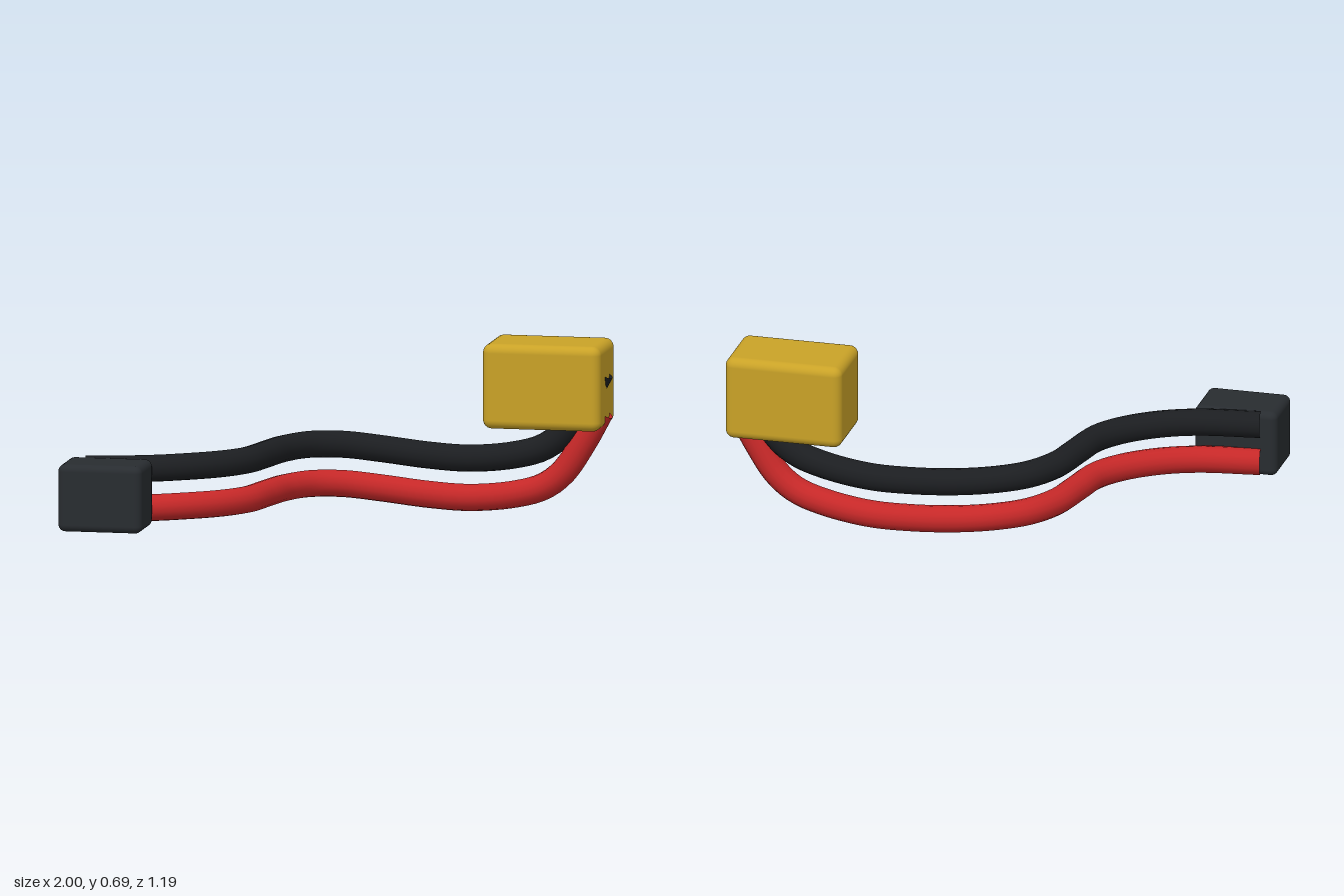
import * as THREE from 'three';
import { RoundedBoxGeometry } from 'three/addons/geometries/RoundedBoxGeometry.js';

// Centre line of the upper wire; the lower wire runs parallel beneath it
const PATH = [
  [-0.935, 0.255, 0.36], [-0.7, 0.258, 0.315], [-0.56, 0.26, 0.25], [-0.44, 0.26, 0.155],
  [-0.36, 0.26, 0.04], [-0.32, 0.26, -0.12], [-0.28, 0.26, -0.28], [-0.2, 0.26, -0.41],
  [-0.08, 0.253, -0.48], [0.07, 0.237, -0.5], [0.25, 0.22, -0.49], [0.42, 0.215, -0.475],
  [0.6, 0.236, -0.457], [0.72, 0.272, -0.447], [0.8, 0.333, -0.443],
  [0.88, 0.45, -0.44], [0.95, 0.578, -0.44],
];

function addWire(group, name, color, drop) {
  const points = PATH.map(([x, y, z]) => new THREE.Vector3(x, y - drop, z));
  const curve = new THREE.CatmullRomCurve3(points);
  const wire = new THREE.Mesh(
    new THREE.TubeGeometry(curve, 80, 0.053, 14, false),
    new THREE.MeshStandardMaterial({ color, side: THREE.DoubleSide })
  );
  wire.name = name;
  group.add(wire);
}

function addBlock(group, name, color, size, position, radius) {
  const block = new THREE.Mesh(
    new RoundedBoxGeometry(...size, 4, radius),
    new THREE.MeshStandardMaterial({ color })
  );
  block.position.set(...position);
  block.name = name;
  group.add(block);
}

export function createModel() {
  const group = new THREE.Group();
  group.name = 'batteryLead';

  // Pair of wires
  addWire(group, 'blackWire', 0x1c1e21, 0);
  addWire(group, 'redWire', 0xc62828, 0.155);

  // End blocks
  addBlock(group, 'darkPlug', 0x282c30, [0.333, 0.265, 0.235], [-0.833, 0.172, 0.475], 0.028);
  addBlock(group, 'yellowConnector', 0xc9a227, [0.47, 0.335, 0.3], [0.74, 0.526, -0.443], 0.035);

  return group;
}
